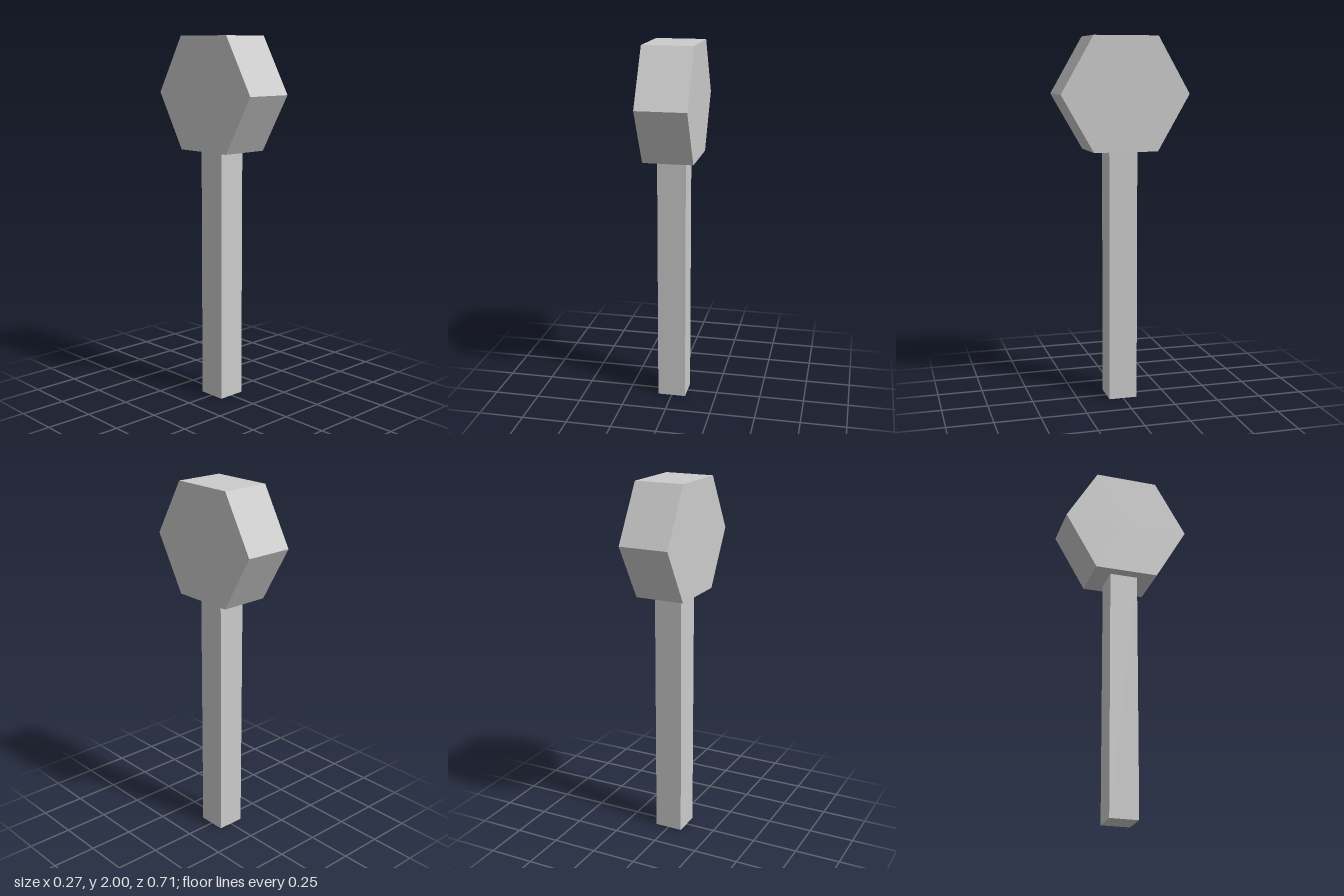
import * as THREE from 'three';

export function createModel() {
  const model = new THREE.Group();
  const material = new THREE.MeshStandardMaterial({ color: 0xcccccc, flatShading: true });

  const headRadius = 0.353; // centre to corner
  const headThickness = 0.274;
  const apothem = headRadius * Math.cos(Math.PI / 6);
  const handleHeight = 2 - 2 * apothem;
  const handleWidth = 0.157;

  // Square handle standing on the ground
  const handle = new THREE.Mesh(
    new THREE.BoxGeometry(handleWidth, handleHeight, handleWidth),
    material
  );
  handle.name = 'handle';
  handle.position.y = handleHeight / 2;
  model.add(handle);

  // Hexagonal head, axis along x, corners pointing to front and back
  const head = new THREE.Mesh(
    new THREE.CylinderGeometry(headRadius, headRadius, headThickness, 6).rotateZ(Math.PI / 2),
    material
  );
  head.name = 'head';
  head.position.y = 2 - apothem;
  model.add(head);

  return model;
}
